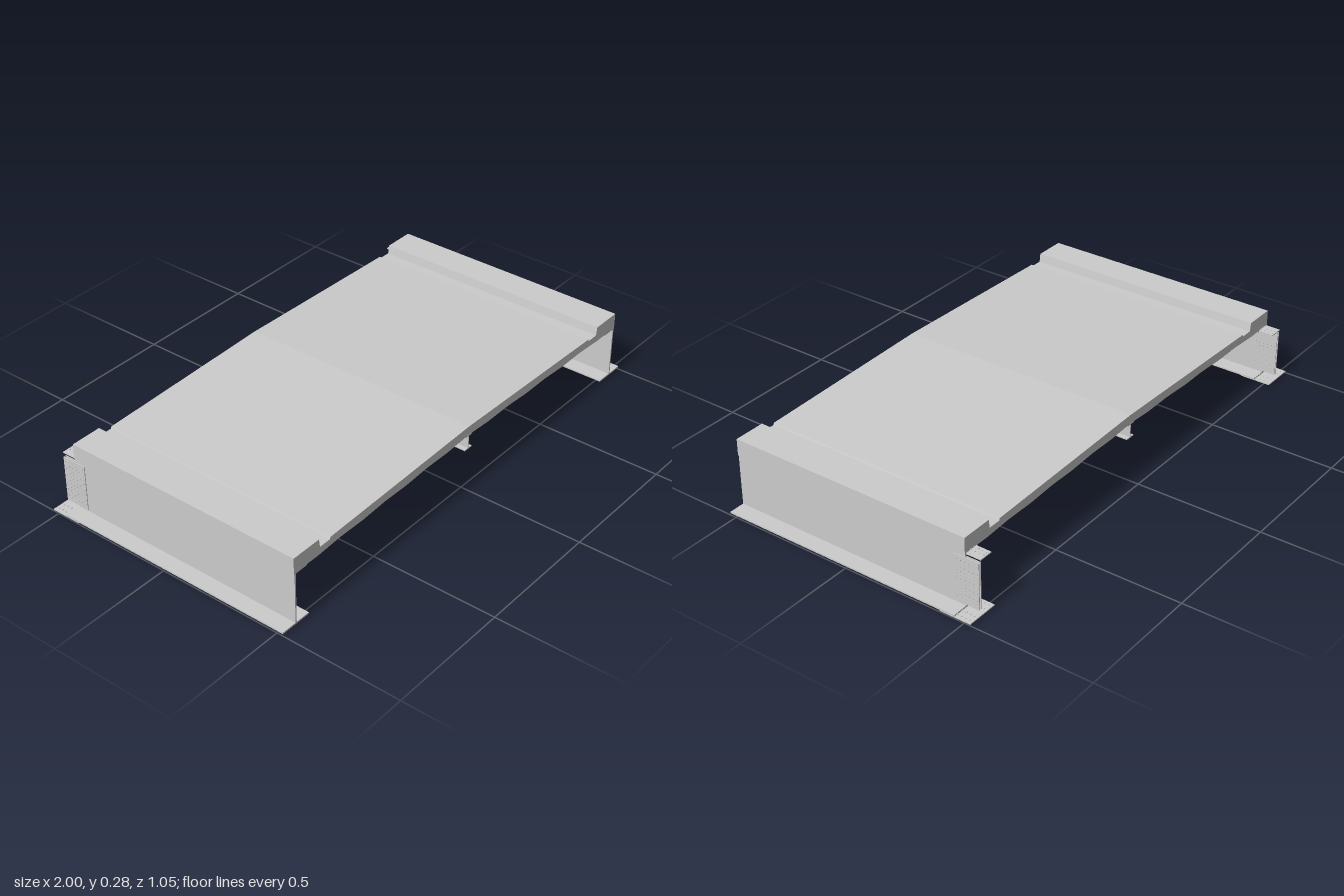
import * as THREE from 'three';

const Z_FRONT = 0.525, Z_BACK = -0.46, LENGTH = Z_FRONT - Z_BACK, Z_MID = (Z_FRONT + Z_BACK) / 2;
const WEB_X = 0.934;
const material = new THREE.MeshStandardMaterial({ color: 0xcccccc, flatShading: true });

function box(parent, name, x0, x1, y0, y1, z0, z1) {
  const mesh = new THREE.Mesh(new THREE.BoxGeometry(x1 - x0, y1 - y0, z1 - z0), material);
  mesh.position.set((x0 + x1) / 2, (y0 + y1) / 2, (z0 + z1) / 2);
  mesh.name = name;
  parent.add(mesh);
  return mesh;
}

// One row of small hexagonal bolts; axis is 'x' or 'y'
function bolts(parent, name, points, axis, height) {
  const geometry = new THREE.CylinderGeometry(0.003, 0.003, height, 6);
  if (axis === 'x') geometry.rotateZ(Math.PI / 2);
  const mesh = new THREE.InstancedMesh(geometry, material, points.length);
  points.forEach((p, i) => mesh.setMatrixAt(i, new THREE.Matrix4().makeTranslation(...p)));
  mesh.name = name;
  parent.add(mesh);
}

// Cambered deck with curbs, gutters and a slightly scalloped underside
function deckSlab() {
  const half = [[0.94, 0.217], [0.94, 0.28], [0.815, 0.28], [0.81, 0.247], [0.76, 0.247], [0.757, 0.255]];
  const points = half.map(([x, y]) => new THREE.Vector2(x, y));
  points.push(new THREE.Vector2(0, 0.274));
  for (const [x, y] of [...half].reverse()) points.push(new THREE.Vector2(-x, y));
  const steps = 32;
  for (let i = 1; i < steps; i++) {
    const x = -0.94 + (1.88 * i) / steps;
    const camber = 0.02 * (1 - Math.abs(x) / 0.94);
    points.push(new THREE.Vector2(x, 0.217 + camber + 0.002 * Math.cos(x * Math.PI * 8.5)));
  }
  const geometry = new THREE.ExtrudeGeometry(new THREE.Shape(points), { depth: LENGTH, bevelEnabled: false });
  geometry.translate(0, 0, Z_BACK);
  const mesh = new THREE.Mesh(geometry, material);
  mesh.name = 'deckSlab';
  return mesh;
}

// Edge girder with bolted splice plates at its back end, built on one side
function girder(side) {
  const g = new THREE.Group();
  g.name = side > 0 ? 'leftGirder' : 'rightGirder';
  const span = (a, b) => (side > 0 ? [a, b] : [-b, -a]);
  const part = (name, a, b, ...rest) => box(g, name, ...span(a, b), ...rest);
  part('girderWeb', WEB_X - 0.003, WEB_X + 0.003, 0.01, 0.218, Z_BACK, Z_FRONT);
  part('bottomFlange', 0.87, 1, 0.008, 0.014, Z_BACK, Z_FRONT);
  part('topFlange', 0.875, 0.94, 0.214, 0.219, Z_BACK, Z_FRONT);
  // Splice plates
  for (const offset of [-0.0045, 0.0045]) {
    const x = WEB_X + offset;
    part('webSplicePlate', x - 0.0015, x + 0.0015, 0.02, 0.204, -0.515, -0.415);
  }
  part('bottomSplicePlate', 0.872, 1, 0.004, 0.008, -0.525, -0.4);
  part('topSplicePlate', 0.88, 0.935, 0.215, 0.219, -0.52, -0.4);

  // Bolt patterns
  const webBolts = [], topBolts = [], bottomBolts = [];
  for (let c = 0; c < 6; c++) {
    const z = -0.424 - c * 0.0166;
    for (let r = 0; r < 11; r++) webBolts.push([side * WEB_X, 0.042 + r * 0.0146, z]);
  }
  for (let c = 0; c < 7; c++) {
    const z = -0.412 - c * 0.0165;
    for (const x of [0.893, 0.91]) topBolts.push([side * x, 0.217, z]);
    for (const x of [0.885, 0.91, 0.96, 0.985]) bottomBolts.push([side * x, 0.006, z]);
  }
  bolts(g, 'webBolts', webBolts, 'x', 0.017);
  bolts(g, 'topFlangeBolts', topBolts, 'y', 0.01);
  bolts(g, 'bottomFlangeBolts', bottomBolts, 'y', 0.011);
  return g;
}

// Transverse I-beam between the girders
function crossBeam(z) {
  const g = new THREE.Group();
  g.name = 'crossBeam';
  const x = WEB_X - 0.003;
  box(g, 'beamWeb', -x, x, 0.082, 0.222, z - 0.003, z + 0.003);
  box(g, 'beamBottomFlange', -x, x, 0.079, 0.084, z - 0.022, z + 0.022);
  box(g, 'beamTopFlange', -x, x, 0.214, 0.22, z - 0.022, z + 0.022);
  // Web carried up into the cambered slab
  const fill = new THREE.Shape([[-0.9, 0.215], [0.9, 0.215], [0, 0.245]].map(p => new THREE.Vector2(...p)));
  const mesh = new THREE.Mesh(new THREE.ExtrudeGeometry(fill, { depth: 0.04, bevelEnabled: false }), material);
  mesh.position.z = z - 0.02;
  mesh.name = 'beamHaunch';
  g.add(mesh);
  return g;
}

// Small central longitudinal I-beam
function stringer() {
  const g = new THREE.Group();
  g.name = 'centreStringer';
  box(g, 'stringerWeb', -0.002, 0.002, 0.18, 0.245, Z_BACK, Z_FRONT);
  box(g, 'stringerBottomFlange', -0.02, 0.02, 0.179, 0.183, Z_BACK, Z_FRONT);
  box(g, 'stringerTopFlange', -0.02, 0.02, 0.234, 0.238, Z_BACK, Z_FRONT);
  return g;
}

export function createModel() {
  const model = new THREE.Group();
  model.name = 'bridgeDeckSection';
  model.add(deckSlab(), girder(1), girder(-1), stringer());
  for (const z of [-0.17, 0.25]) model.add(crossBeam(z));
  return model;
}
